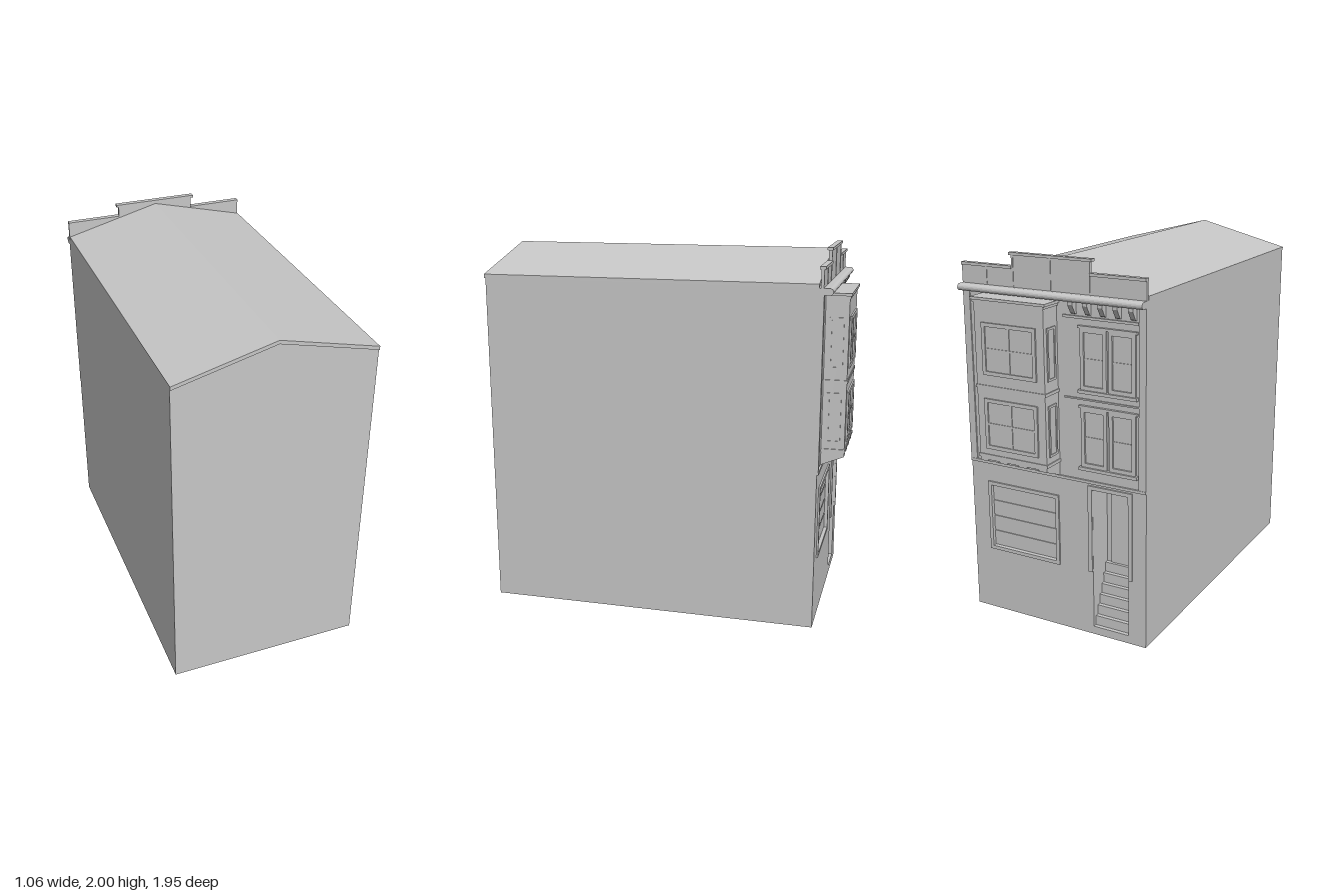
import * as THREE from 'three';

const stone = new THREE.MeshStandardMaterial({ color: 0xc6c6c6, side: THREE.DoubleSide });
stone.name = 'stone grey';

const FACADE = -0.84; // plane of the street wall

function add(parent, name, geometry) {
  const mesh = new THREE.Mesh(geometry, stone);
  mesh.name = name;
  parent.add(mesh);
  return mesh;
}

// Box given by its limits
function box(parent, name, x0, x1, y0, y1, z0, z1) {
  const g = new THREE.BoxGeometry(x1 - x0, y1 - y0, Math.abs(z1 - z0));
  g.translate((x0 + x1) / 2, (y0 + y1) / 2, (z0 + z1) / 2);
  return add(parent, name, g);
}

const polygon = pts => new THREE.Shape(pts.map(p => new THREE.Vector2(...p)));
const rect = (x0, x1, y0, y1) => [[x0, y0], [x1, y0], [x1, y1], [x0, y1]];

// (z, y) section swept along x
function sweepX(parent, name, pts, x0, x1) {
  const g = new THREE.ExtrudeGeometry(polygon(pts), { depth: x1 - x0, bevelEnabled: false });
  g.rotateY(-Math.PI / 2);
  g.translate(x1, 0, 0);
  return add(parent, name, g);
}

// Framed window facing local +z, with a grid of glazing bars
function frameWindow(parent, name, w, h, cols, rows, border = 0.018, out = 0.009) {
  const group = new THREE.Group();
  group.name = name;
  const outer = polygon(rect(-w / 2, w / 2, -h / 2, h / 2));
  const iw = w / 2 - border, ih = h / 2 - border;
  outer.holes.push(polygon(rect(-iw, iw, -ih, ih)));
  add(group, 'windowFrame', new THREE.ExtrudeGeometry(outer, { depth: out, bevelEnabled: false }));
  box(group, 'pane', -iw, iw, -ih, ih, 0, 0.002);
  for (let i = 1; i < cols; i++) {
    const x = -iw + (2 * iw * i) / cols;
    box(group, 'glazingBar', x - 0.005, x + 0.005, -ih, ih, 0.001, 0.006);
  }
  for (let i = 1; i < rows; i++) {
    const y = -ih + (2 * ih * i) / rows;
    box(group, 'glazingRail', -iw, iw, y - 0.005, y + 0.005, 0.001, 0.006);
  }
  parent.add(group);
  return group;
}

function buildShell(house) {
  // Plain walls, open underneath
  const gable = polygon([[-0.53, 0], [0.53, 0], [0.53, 1.825], [0, 1.96], [-0.53, 1.825]]);
  add(house, 'frontWall', new THREE.ShapeGeometry(gable)).position.z = 0.97;
  for (const s of [-1, 1]) {
    const wall = new THREE.PlaneGeometry(1.81, 1.825);
    wall.rotateY((s * Math.PI) / 2);
    wall.translate(s * 0.53, 1.825 / 2, 0.065);
    add(house, 'sideWall', wall);
  }
  // Street wall with openings for the shutter and the stairs
  const street = polygon(rect(-0.53, 0.53, 0, 1.83));
  street.holes.push(polygon(rect(0.0, 0.405, 0.38, 0.735)));
  street.holes.push(polygon(rect(-0.43, -0.22, 0.045, 0.825)));
  add(house, 'streetWall', new THREE.ShapeGeometry(street)).position.z = FACADE;
  // Shallow pitched roof
  const roof = polygon([[-0.53, 1.825], [0, 1.96], [0.53, 1.825], [0.53, 1.845], [0, 1.98], [-0.53, 1.845]]);
  const g = new THREE.ExtrudeGeometry(roof, { depth: 1.8, bevelEnabled: false });
  g.translate(0, 0, -0.822);
  add(house, 'roof', g);
}

function buildParapet(house) {
  box(house, 'parapet', -0.53, 0.53, 1.82, 1.92, -0.845, -0.83);
  box(house, 'parapetCentre', -0.225, 0.225, 1.9, 1.988, -0.845, -0.83);
  for (const s of [-1, 1]) {
    const [a, b] = s < 0 ? [-0.53, -0.225] : [0.225, 0.53];
    box(house, 'parapetCap', a, b, 1.917, 1.932, -0.853, -0.822);
    box(house, 'parapetSeam', s * 0.38 - 0.004, s * 0.38 + 0.004, 1.83, 1.917, -0.848, -0.845);
    box(house, 'parapetSeam', s * 0.22 - 0.005, s * 0.22 + 0.005, 1.83, 1.985, -0.848, -0.845);
  }
  box(house, 'parapetCentreCap', -0.237, 0.237, 1.986, 2.0, -0.853, -0.822);
  box(house, 'parapetSeam', -0.004, 0.004, 1.83, 1.986, -0.848, -0.845);
  // Rounded cornice
  const section = [[-0.828, 1.79], [-0.86, 1.79]];
  for (let i = 0; i <= 8; i++) {
    const a = -Math.PI / 2 + (Math.PI * i) / 8;
    section.push([-0.875 - 0.018 * Math.cos(a), 1.807 + 0.018 * Math.sin(a)]);
  }
  section.push([-0.828, 1.825]);
  sweepX(house, 'cornice', section, -0.53, 0.53);
  // Brackets under the cornice beside the bay
  for (let i = 0; i < 5; i++) {
    const x = -0.13 - i * 0.083;
    sweepX(house, 'corniceBracket', [[-0.84, 1.725], [-0.852, 1.73], [-0.88, 1.775], [-0.88, 1.792], [-0.84, 1.792]], x - 0.013, x + 0.013);
  }
  box(house, 'frieze', -0.49, -0.07, 1.705, 1.718, -0.849, -0.84);
}

function buildBay(house) {
  const bay = new THREE.Group();
  bay.name = 'bayWindow';
  house.add(bay);
  const L = -0.03, R = 0.38, F = -0.962;
  box(bay, 'bayBody', L, R, 0.93, 1.775, F, FACADE);
  // Horizontal mouldings
  for (const [y0, y1, o] of [[1.772, 1.786, 0.015], [1.758, 1.772, 0.006], [1.318, 1.334, 0.006], [0.945, 0.962, 0.006]])
    box(bay, 'bayMoulding', L - o, R + o, y0, y1, F - o * 0.8, FACADE);
  // Wedge corbels below
  for (let i = 0; i < 4; i++) {
    const x = L + 0.025 + (i * (R - L - 0.05)) / 3;
    sweepX(bay, 'corbel', [[FACADE, 0.87], [F, 0.922], [F, 0.932], [FACADE, 0.932]], x - 0.024, x + 0.024);
  }
  // Windows on three faces of both storeys
  for (const y of [1.13, 1.525]) {
    const front = frameWindow(bay, 'bayFrontWindow', 0.32, 0.27, 2, 2, 0.02);
    front.position.set((L + R) / 2, y, F);
    front.rotation.y = Math.PI;
    for (const s of [-1, 1]) {
      const side = frameWindow(bay, 'baySideWindow', 0.074, 0.27, 1, 1, 0.012, 0.006);
      side.position.set(s < 0 ? L : R, y, -0.9);
      side.rotation.y = (s * Math.PI) / 2;
    }
  }
}

function buildFlatWindows(house) {
  for (const y of [1.1, 1.505]) {
    for (const x of [-0.24, -0.4]) {
      const w = frameWindow(house, 'sashWindow', 0.148, 0.31, 1, 2, 0.02, 0.012);
      w.position.set(x, y, FACADE);
      w.rotation.y = Math.PI;
    }
    box(house, 'windowSill', -0.485, -0.155, y - 0.172, y - 0.155, -0.862, FACADE);
    box(house, 'windowHead', -0.485, -0.155, y + 0.155, y + 0.168, -0.855, FACADE);
  }
  box(house, 'storeyBand', -0.49, -0.07, 1.295, 1.303, -0.847, FACADE);
}

function buildGroundFloor(house) {
  // Shutter set back in a slim frame
  const frame = polygon(rect(-0.02, 0.425, 0.36, 0.755));
  frame.holes.push(polygon(rect(0.0, 0.405, 0.38, 0.735)));
  const g = new THREE.ExtrudeGeometry(frame, { depth: 0.03, bevelEnabled: false });
  add(house, 'shutterFrame', g).position.z = -0.849;
  for (let i = 0; i < 4; i++) {
    const y = 0.38 + i * 0.08875;
    box(house, 'shutterPanel', 0.0, 0.405, y + 0.004, y + 0.085, -0.83, -0.82);
  }
  box(house, 'shutterBacking', 0.0, 0.405, 0.38, 0.735, -0.825, -0.819);

  // Recessed stair rising to the door
  const steps = 7, back = -0.69;
  const section = [[FACADE, 0]];
  for (let i = 0; i < steps; i++) {
    const z = FACADE + (i * 0.15) / steps, y = 0.045 + (i * 0.32) / (steps - 1);
    section.push([z, y], [z + 0.15 / steps, y]);
  }
  section.push([back, 0]);
  sweepX(house, 'stairs', section, -0.43, -0.22);
  for (const x of [-0.43, -0.22])
    box(house, 'porchSide', x - 0.001, x + 0.001, 0.045, 0.825, FACADE, back);
  box(house, 'porchCeiling', -0.43, -0.22, 0.824, 0.826, FACADE, back);
  box(house, 'porchBack', -0.43, -0.22, 0.36, 0.825, back, back + 0.004);
  box(house, 'door', -0.4, -0.25, 0.366, 0.77, back - 0.008, back);
  // Door surround
  box(house, 'doorJamb', -0.22, -0.197, 0.365, 0.83, -0.849, FACADE);
  box(house, 'doorJamb', -0.453, -0.43, 0.365, 0.83, -0.849, FACADE);
  box(house, 'doorLintel', -0.453, -0.197, 0.825, 0.845, -0.849, FACADE);

  // Belt course and corner strips
  box(house, 'beltCourse', -0.53, 0.53, 0.857, 0.872, -0.849, FACADE);
  for (const s of [-1, 1])
    box(house, 'cornerStrip', s * 0.51 - 0.02, s * 0.51 + 0.02, 0.872, 1.79, -0.847, FACADE);
}

export function createModel() {
  const house = new THREE.Group();
  house.name = 'townhouse';
  buildShell(house);
  buildParapet(house);
  buildBay(house);
  buildFlatWindows(house);
  buildGroundFloor(house);
  return house;
}
